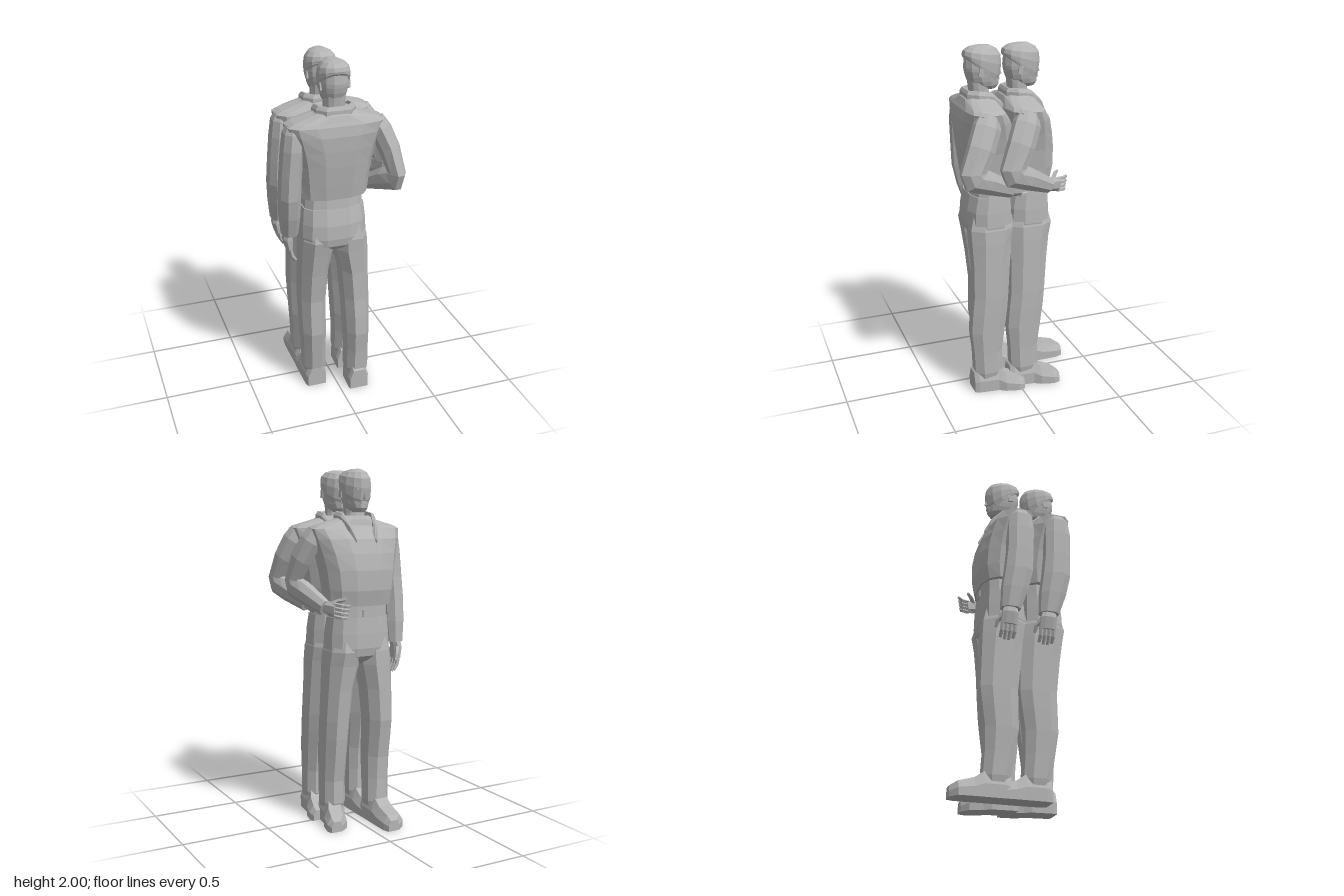
import * as THREE from 'three';

const grey = new THREE.MeshStandardMaterial({ color: 0xb4b4b4 });
grey.name = 'plain grey';
const MID = -0.022; // centre line of a figure
const V = (x, y, z) => new THREE.Vector3(x, y, z);

// Horizontal rounded-square ring between x0..x1 and zFront..zBack
function ring(y, x0, x1, zb, zf, n = 8, e = 0.85, tilt = 0, taper = 0) {
  const pts = [], top = Math.cos(Math.PI / n) ** e;
  const pow = (v) => (Math.sign(v) * Math.abs(v) ** e) / top;
  for (let i = 0; i < n; i++) {
    const a = ((i + 0.5) / n) * Math.PI * 2, s = pow(Math.sin(a));
    const narrow = 1 - taper * Math.max(0, -s);
    const z = (zb + zf) / 2 + ((zb - zf) / 2) * s;
    pts.push(V((x0 + x1) / 2 + ((x1 - x0) / 2) * pow(Math.cos(a)) * narrow, y - tilt * s, z));
  }
  return pts;
}

// Skin a list of equal rings with flat facets and closed ends
function loft(name, rings) {
  const tri = [], n = rings[0].length;
  for (let r = 0; r < rings.length - 1; r++)
    for (let i = 0; i < n; i++) {
      const j = (i + 1) % n, a = rings[r], b = rings[r + 1];
      tri.push([a[i], b[i], b[j]], [a[i], b[j], a[j]]);
    }
  const first = rings[0], last = rings[rings.length - 1];
  for (let i = 1; i < n - 1; i++) {
    tri.push([first[0], first[i], first[i + 1]], [last[0], last[i + 1], last[i]]);
  }
  // turn the faces outward whichever way the rings run
  const o = first[0];
  const vol = tri.reduce((s, [a, b, c]) =>
    s + a.clone().sub(o).dot(b.clone().sub(o).cross(c.clone().sub(o))), 0);
  const pts = tri.flatMap(([a, b, c]) => (vol < 0 ? [a, c, b] : [a, b, c]));
  const geo = new THREE.BufferGeometry().setFromPoints(pts);
  geo.computeVertexNormals();
  const mesh = new THREE.Mesh(geo, grey);
  mesh.name = name;
  return mesh;
}

// Limb along a path; each point is [x, y, z, half width, half depth]
function limb(name, path, n = 8) {
  const P = path.map((p) => V(p[0], p[1], p[2]));
  return loft(name, P.map((p, k) => {
    const t = V(0, 0, 0);
    if (k > 0) t.add(p.clone().sub(P[k - 1]).normalize());
    if (k < P.length - 1) t.add(P[k + 1].clone().sub(p).normalize());
    t.normalize();
    const d = t.clone().cross(V(1, 0, 0)).normalize();
    const s = d.clone().cross(t).normalize();
    return Array.from({ length: n }, (_, i) => {
      const a = ((i + 0.5) / n) * Math.PI * 2;
      return p.clone().addScaledVector(s, Math.cos(a) * path[k][3] * 1.06)
        .addScaledVector(d, Math.sin(a) * path[k][4] * 1.06);
    });
  }));
}

// Symmetric stack of rings: rows of [y, half width, zBack, zFront, tilt, squareness]
const stack = (name, rows, e = 0.75, taper = 0) => loft(name, rows.map(([y, r, zb, zf, tilt = 0, sq = e]) =>
  ring(y, MID - r, MID + r, zb, zf, 12, sq, tilt, taper)));

// Shoe running from heel to toe; rows of [x, z, half width, height]
const shoe = (name, rows) => loft(name, rows.map(([x, z, w, h]) =>
  [[-1, 0], [1, 0], [1, 0.5], [0.6, 1], [-0.6, 1], [-1, 0.5]].map(([u, v]) => V(x + u * w, v * h, z))));

function box(name, w, h, d, x, y, z) {
  const m = new THREE.Mesh(new THREE.BoxGeometry(w, h, d), grey);
  m.name = name;
  m.position.set(x, y, z);
  return m;
}

function createHead() {
  const head = new THREE.Group();
  head.name = 'head';
  head.add(stack('neck', [[1.68, 0.062, 0.0, -0.115], [1.76, 0.056, 0.0, -0.105], [1.83, 0.058, 0.008, -0.11]], 0.9));
  head.add(stack('face', [
    [1.765, 0.036, -0.06, -0.148], [1.785, 0.056, -0.015, -0.162], [1.81, 0.067, 0.005, -0.163],
    [1.835, 0.073, 0.015, -0.164], [1.865, 0.078, 0.022, -0.16], [1.885, 0.079, 0.024, -0.168],
    [1.93, 0.076, 0.02, -0.16], [1.965, 0.055, 0.0, -0.13]], 0.9, 0.22));
  // hair sits low at the nape and high at the forehead
  head.add(stack('hair', [
    [1.865, 0.08, 0.022, -0.15, -0.068], [1.885, 0.084, 0.029, -0.166, -0.056], [1.922, 0.085, 0.031, -0.176, -0.03],
    [1.958, 0.078, 0.025, -0.173, -0.014], [1.984, 0.057, 0.0, -0.152, -0.006], [1.998, 0.024, -0.04, -0.112]], 0.9, 0.2));
  head.add(loft('nose', [
    [V(MID - 0.007, 1.885, -0.155), V(MID + 0.007, 1.885, -0.155), V(MID, 1.885, -0.17)],
    [V(MID - 0.014, 1.84, -0.15), V(MID + 0.014, 1.84, -0.15), V(MID, 1.838, -0.186)],
    [V(MID - 0.01, 1.832, -0.15), V(MID + 0.01, 1.832, -0.15), V(MID, 1.832, -0.174)]]));
  head.add(box('lips', 0.036, 0.01, 0.012, MID, 1.815, -0.162));
  for (const s of [-1, 1]) {
    const ear = box('ear', 0.01, 0.042, 0.026, MID + s * 0.078, 1.865, -0.045);
    ear.rotation.x = -0.15;
    head.add(ear);
    const brow = box('brow', 0.03, 0.009, 0.012, MID + s * 0.028, 1.889, -0.162);
    brow.rotation.y = s * -0.2;
    head.add(brow);
  }
  return head;
}

function createCollar() {
  // U-shaped band, from one lapel tip round the nape to the other
  const half = [[0.062, 1.61, -0.198, 0.012], [0.085, 1.68, -0.162, 0.026], [0.106, 1.73, -0.1, 0.028],
    [0.106, 1.742, -0.02, 0.027], [0.066, 1.743, 0.03, 0.025]];
  const path = [...half.map(([x, ...r]) => [-x, ...r]), ...half.slice().reverse()];
  return loft('collar', path.map(([x, y, z, h]) => {
    const at = (k, dy) => V(MID + x * k, y + dy, -0.06 + (z + 0.06) * k);
    return [at(0.78, -h), at(0.82, h), at(0.92, h), at(1.03, h * 0.3), at(1.03, -h)];
  }));
}

function createHangingArm() {
  const arm = new THREE.Group();
  arm.name = 'rightArm';
  arm.add(loft('rightSleeve', [
    [1.68, -0.282, -0.2, 0.015, -0.08], [1.64, -0.303, -0.19, 0.032, -0.1], [1.55, -0.314, -0.2, 0.04, -0.11],
    [1.4, -0.325, -0.215, 0.032, -0.115], [1.27, -0.33, -0.218, 0.026, -0.13], [1.15, -0.322, -0.216, 0.0, -0.145],
    [1.03, -0.308, -0.222, -0.04, -0.148]].map((r) => ring(...r))));
  arm.add(loft('rightPalm', [
    [1.05, -0.292, -0.24, -0.06, -0.13], [1.0, -0.302, -0.25, -0.055, -0.145],
    [0.935, -0.285, -0.248, -0.058, -0.15]].map((r) => ring(...r))));
  for (let i = 0; i < 4; i++) {
    const z = -0.068 - i * 0.024, drop = [0.012, 0, 0, 0.01][i];
    arm.add(limb('rightFinger', [[-0.268, 0.945, z, 0.012, 0.012], [-0.258, 0.9, z - 0.002, 0.012, 0.011],
      [-0.236, 0.857 + drop, z - 0.004, 0.009, 0.009]], 5));
  }
  arm.add(limb('rightThumb', [[-0.265, 0.995, -0.135, 0.014, 0.014], [-0.245, 0.96, -0.16, 0.012, 0.012],
    [-0.232, 0.925, -0.168, 0.008, 0.008]], 5));
  return arm;
}

function createBentArm() {
  const arm = new THREE.Group();
  arm.name = 'leftArm';
  arm.add(limb('leftSleeve', [
    [0.2, 1.665, -0.035, 0.045, 0.055], [0.225, 1.61, -0.015, 0.055, 0.075], [0.262, 1.51, 0.03, 0.052, 0.075],
    [0.286, 1.39, 0.084, 0.043, 0.07], [0.282, 1.352, 0.07, 0.045, 0.072],
    [0.262, 1.322, -0.01, 0.048, 0.062], [0.212, 1.252, -0.155, 0.036, 0.042]]));
  arm.add(limb('leftPalm', [[0.22, 1.265, -0.13, 0.024, 0.03], [0.2, 1.25, -0.18, 0.02, 0.038],
    [0.185, 1.243, -0.225, 0.015, 0.04]], 6));
  for (let i = 0; i < 4; i++) {
    const y = 1.274 - i * 0.022;
    arm.add(limb('leftFinger', [[0.188, y, -0.215, 0.011, 0.01], [0.168, y - 0.004, -0.262, 0.01, 0.01],
      [0.13 + i * 0.004, y - 0.008, -0.29 + i * 0.005, 0.008, 0.008]], 5));
  }
  arm.add(limb('leftThumb', [[0.19, 1.275, -0.185, 0.013, 0.013], [0.155, 1.295, -0.21, 0.011, 0.011],
    [0.128, 1.3, -0.236, 0.008, 0.008]], 5));
  return arm;
}

function createFigure() {
  const man = new THREE.Group();
  man.add(createHead(), createCollar(), createHangingArm(), createBentArm());
  // jacket grows squarer towards the shoulders
  man.add(stack('jacket', [
    [1.255, 0.19, 0.035, -0.215], [1.34, 0.198, 0.048, -0.233], [1.45, 0.212, 0.062, -0.232],
    [1.54, 0.232, 0.07, -0.214, 0, 0.72], [1.62, 0.254, 0.073, -0.187, 0, 0.65], [1.675, 0.266, 0.064, -0.145, 0, 0.55],
    [1.692, 0.235, 0.055, -0.132, 0, 0.57], [1.725, 0.12, 0.04, -0.122, 0, 0.7], [1.745, 0.085, 0.012, -0.112]]));
  man.add(stack('waistband', [[1.175, 0.166, 0.022, -0.207], [1.265, 0.16, 0.014, -0.207]]));
  man.add(box('beltBuckle', 0.06, 0.04, 0.014, MID, 1.215, -0.207));
  man.add(stack('hips', [[1.19, 0.171, 0.026, -0.209], [1.1, 0.18, 0.045, -0.215], [1.02, 0.184, 0.048, -0.217],
    [0.975, 0.178, 0.04, -0.208], [0.945, 0.06, 0.012, -0.175], [0.92, 0.015, -0.03, -0.13]]));
  // the right leg steps forward, the left one stays back
  man.add(loft('rightLeg', [
    [1.1, -0.175, -0.05, 0.01, -0.19], [1.0, -0.203, -0.026, 0.037, -0.215], [0.92, -0.206, -0.028, 0.022, -0.22],
    [0.78, -0.206, -0.05, 0.0, -0.225], [0.6, -0.206, -0.06, -0.02, -0.23], [0.5, -0.204, -0.062, -0.018, -0.217],
    [0.38, -0.2, -0.062, -0.015, -0.2], [0.25, -0.192, -0.06, -0.035, -0.198], [0.12, -0.186, -0.054, -0.055, -0.206],
    [0.07, -0.175, -0.065, -0.065, -0.2]].map((r) => ring(...r))));
  man.add(loft('leftLeg', [
    [1.1, 0.005, 0.135, 0.02, -0.185], [1.0, -0.018, 0.164, 0.045, -0.21], [0.92, -0.014, 0.17, 0.041, -0.193],
    [0.78, 0.02, 0.174, 0.036, -0.176], [0.6, 0.035, 0.181, 0.039, -0.163], [0.5, 0.04, 0.181, 0.05, -0.155],
    [0.38, 0.044, 0.179, 0.058, -0.14], [0.25, 0.05, 0.178, 0.045, -0.122], [0.12, 0.05, 0.18, 0.04, -0.125],
    [0.07, 0.06, 0.17, 0.03, -0.11]].map((r) => ring(...r))));
  man.add(shoe('rightShoe', [[-0.12, -0.055, 0.055, 0.12], [-0.12, -0.085, 0.064, 0.14], [-0.12, -0.2, 0.065, 0.14],
    [-0.12, -0.25, 0.066, 0.105], [-0.119, -0.338, 0.064, 0.08], [-0.102, -0.375, 0.034, 0.06]]));
  man.add(shoe('leftShoe', [[0.108, 0.05, 0.055, 0.12], [0.112, 0.025, 0.062, 0.14], [0.122, -0.09, 0.065, 0.14],
    [0.145, -0.13, 0.066, 0.105], [0.168, -0.205, 0.062, 0.08], [0.186, -0.24, 0.034, 0.06]]));
  return man;
}

export function createModel() {
  const model = new THREE.Group();
  model.name = 'twoStandingMen';
  const front = createFigure();
  front.name = 'frontMan';
  const back = front.clone();
  back.name = 'backMan';
  back.position.z = 0.222;
  model.add(front, back);
  return model;
}
